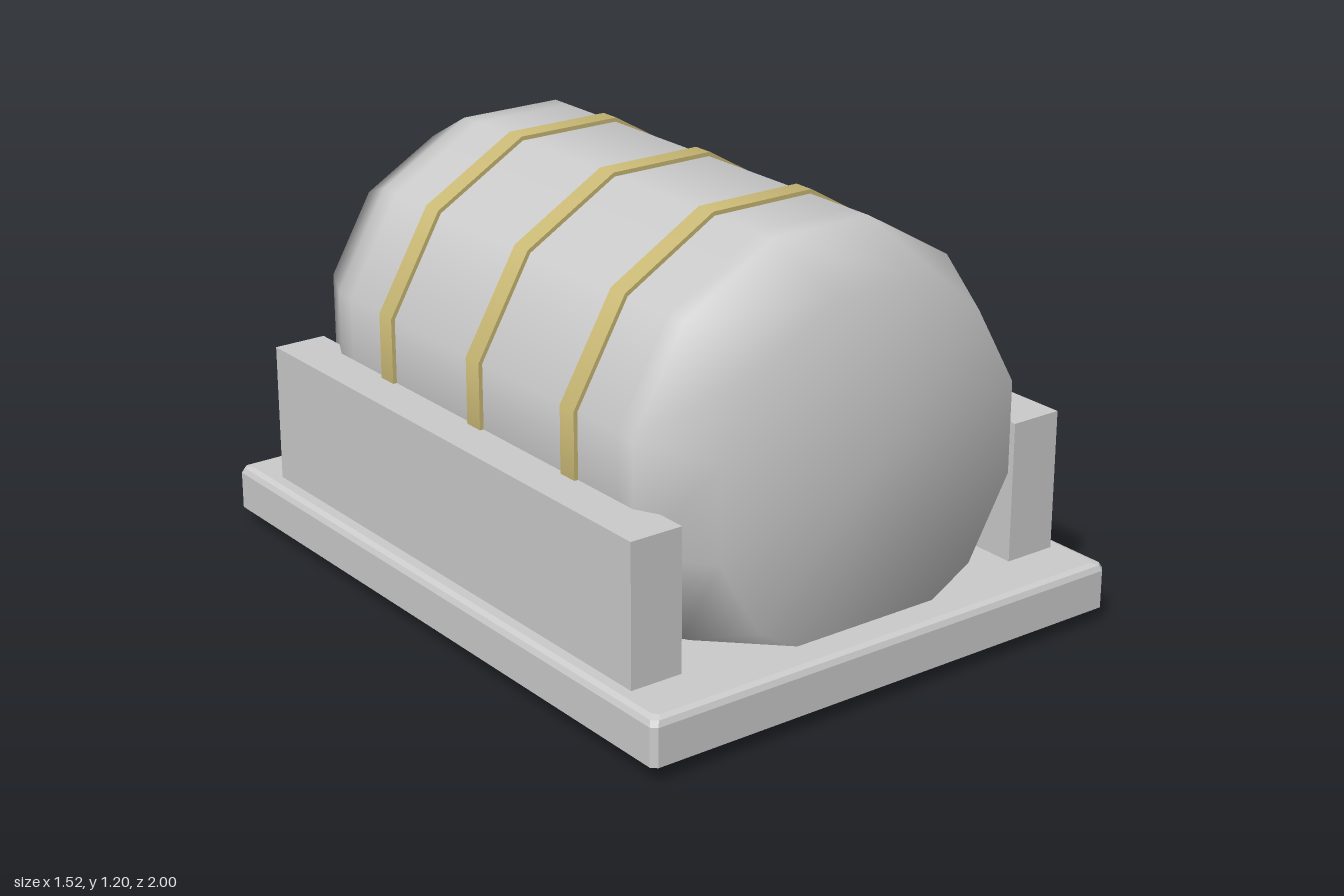
import * as THREE from 'three';

const SIDES = 12;
const AXIS_Y = 0.603; // height of the tank's axis
const START = Math.PI / SIDES; // turns a flat side to the top

// Open-bottomed tray with a small rounded top edge, lofted from chamfered rectangles
function trayGeometry(halfW, halfD, y0, y1, bevel) {
  const rows = [[y0, 0], [y1 - bevel, 0], [y1 - bevel * 0.3, bevel * 0.3], [y1, bevel]];
  const pos = [], index = [];
  for (const [y, inset] of rows) {
    const w = halfW - inset, d = halfD - inset, c = 0.015;
    for (const [x, z] of [[w - c, d], [w, d - c], [w, c - d], [w - c, -d],
      [c - w, -d], [-w, c - d], [-w, d - c], [c - w, d]]) pos.push(x, y, z);
  }
  for (let r = 0; r < rows.length - 1; r++) {
    for (let i = 0; i < 8; i++) {
      const a = r * 8 + i, b = r * 8 + (i + 1) % 8;
      index.push(a, b, b + 8, a, b + 8, a + 8);
    }
  }
  const top = (rows.length - 1) * 8;
  for (let i = 1; i < 7; i++) index.push(top, top + i, top + i + 1);
  const g = new THREE.BufferGeometry();
  g.setAttribute('position', new THREE.Float32BufferAttribute(pos, 3));
  g.setIndex(index);
  const flat = g.toNonIndexed();
  flat.computeVertexNormals();
  return flat;
}

export function createModel() {
  const group = new THREE.Group();
  const grey = new THREE.MeshStandardMaterial({ color: 0xcccccc });
  grey.name = 'light grey';
  const greyShell = new THREE.MeshStandardMaterial({ color: 0xcccccc, side: THREE.DoubleSide });
  greyShell.name = 'light grey shell';
  const brass = new THREE.MeshStandardMaterial({ color: 0xccbb77 });
  brass.name = 'pale brass';

  const add = (name, geometry, material, x, y, z) => {
    const mesh = new THREE.Mesh(geometry, material);
    mesh.name = name;
    mesh.position.set(x, y, z);
    group.add(mesh);
    return mesh;
  };

  // Base tray
  add('base', trayGeometry(0.76, 1, 0.05, 0.18, 0.022), greyShell, 0, 0, 0);

  // Side rails holding the tank
  for (const s of [1, -1]) {
    const rail = new THREE.BoxGeometry(0.155, 0.4, 1.68);
    add(s > 0 ? 'leftRail' : 'rightRail', rail, grey, s * 0.63, 0.377, 0);
  }

  // Twelve-sided tank with tapered ends
  const half = [[0, 0.895], [0.497, 0.895], [0.607, 0.685], [0.607, 0.62]];
  const profile = [
    ...half.map(([r, z]) => new THREE.Vector2(r, -z)),
    ...half.slice().reverse().map(([r, z]) => new THREE.Vector2(r, z)),
  ];
  const tank = new THREE.LatheGeometry(profile, SIDES, START);
  tank.rotateX(Math.PI / 2);
  add('tank', tank, grey, 0, AXIS_Y, 0);

  // Bands around the tank
  for (const z of [-0.425, 0, 0.425]) {
    const band = new THREE.CylinderGeometry(0.619, 0.619, 0.06, SIDES, 1, false, START);
    band.rotateX(Math.PI / 2);
    add('band', band, brass, 0, AXIS_Y, z);
  }

  // Stand on y = 0
  const box = new THREE.Box3().setFromObject(group);
  for (const part of group.children) part.position.y -= box.min.y;
  return group;
}
